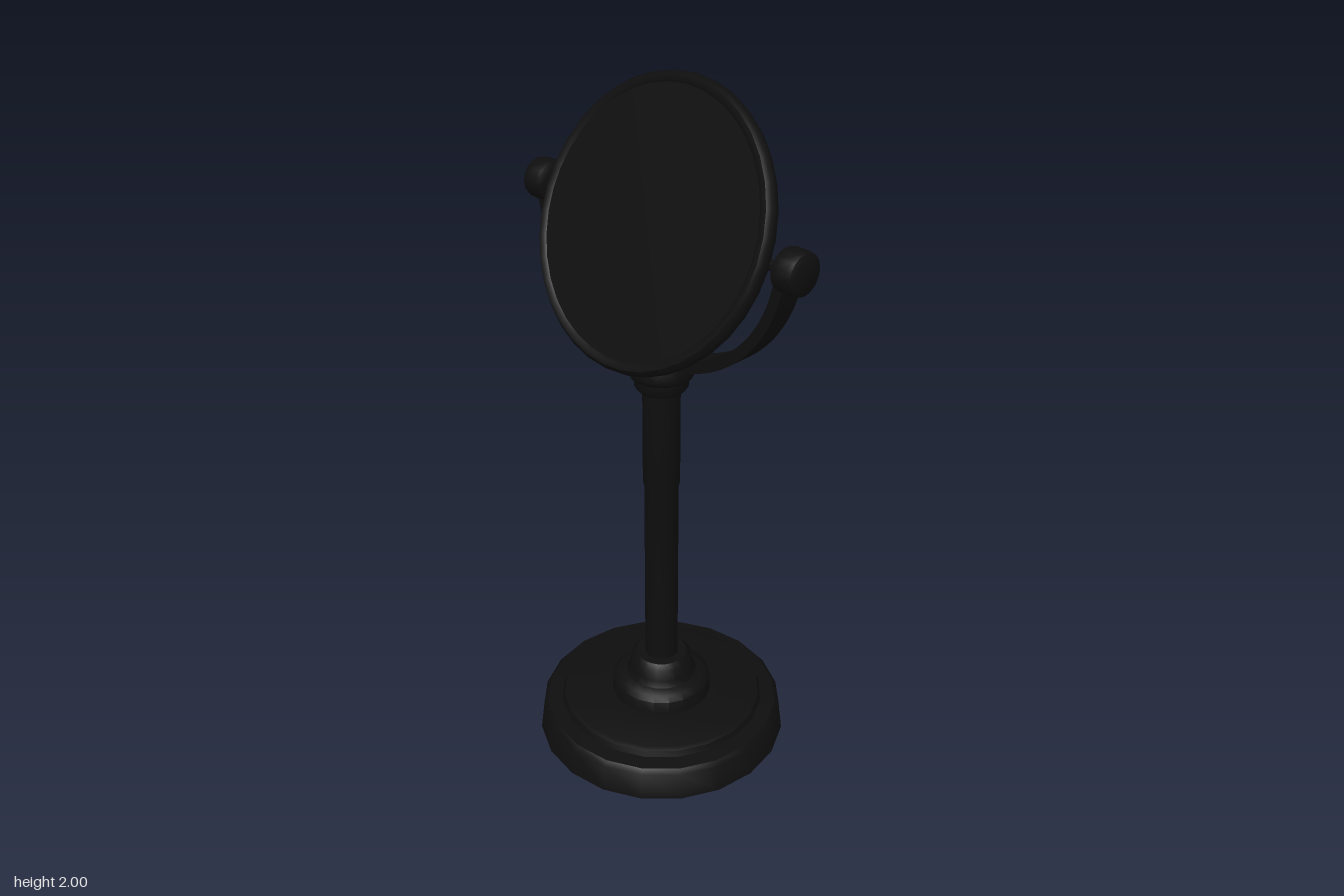
import * as THREE from 'three';
import { toCreasedNormals } from 'three/addons/utils/BufferGeometryUtils.js';

const material = new THREE.MeshStandardMaterial({ color: 0x0e0e0e });

function part(name, geometry, parent) {
  const mesh = new THREE.Mesh(toCreasedNormals(geometry, 0.7), material);
  mesh.name = name;
  parent.add(mesh);
  return mesh;
}

// Turned part from [radius, height] pairs listed bottom to top
function turned(name, profile, segments, parent) {
  const points = profile.map(([r, y]) => new THREE.Vector2(r, y));
  return part(name, new THREE.LatheGeometry(points, segments), parent);
}

export function createModel() {
  const model = new THREE.Group();
  model.name = 'tableMirror';

  // Stepped round foot
  turned('base', [
    [0, 0], [0.36, 0], [0.373, 0.01], [0.36, 0.09], [0.348, 0.103], [0.305, 0.108],
    [0.298, 0.125], [0.285, 0.13], [0.15, 0.135], [0.145, 0.175], [0.13, 0.19],
    [0.105, 0.197], [0.095, 0.215], [0.09, 0.25], [0.075, 0.265], [0, 0.265],
  ], 20, model);

  // Column with a slightly wider upper sleeve
  turned('column', [
    [0.049, 0.25], [0.049, 0.85], [0.053, 0.87], [0.053, 1.18],
  ], 20, model);

  // Collar carrying the yoke
  turned('collar', [
    [0.05, 1.165], [0.068, 1.165], [0.075, 1.175], [0.075, 1.2], [0.088, 1.207],
    [0.095, 1.22], [0.095, 1.252], [0.085, 1.272], [0, 1.275],
  ], 20, model);

  // Flat curved yoke: a band between two half ellipses
  const start = Math.PI + 0.1, end = 2 * Math.PI - 0.1;
  const band = new THREE.Shape();
  band.absellipse(0, 1.68, 0.447, 0.432, start, end, false);
  band.absellipse(0, 1.68, 0.418, 0.4, end, start, true);
  band.closePath();
  const yoke = new THREE.ExtrudeGeometry(band, { depth: 0.075, bevelEnabled: false, curveSegments: 28 });
  part('yoke', yoke.translate(0, 0, -0.0375), model);

  // Rounded knobs and pivot pins on both sides
  for (const [side, label] of [[1, 'left'], [-1, 'right']]) {
    const knob = turned(label + 'Knob', [
      [0, -0.038], [0.042, -0.038], [0.055, -0.03], [0.058, -0.018],
      [0.058, 0.018], [0.055, 0.03], [0.042, 0.038], [0, 0.038],
    ], 16, model);
    knob.position.set(side * 0.446, 1.64, 0);
    knob.rotation.z = -side * Math.PI / 2;
    const pin = part(label + 'Pin', new THREE.CylinderGeometry(0.014, 0.014, 0.06, 10), model);
    pin.position.set(side * 0.395, 1.64, 0.01);
    pin.rotation.z = Math.PI / 2;
  }

  // Tilted head: rounded frame with a gently domed back, and the glass
  const head = new THREE.Group();
  head.name = 'mirrorHead';
  head.position.set(0, 1.643, 0.035);
  head.rotation.x = THREE.MathUtils.degToRad(66);
  model.add(head);
  turned('frame', [
    [0, -0.046], [0.1, -0.045], [0.155, -0.041], [0.205, -0.026], [0.365, -0.025],
    [0.381, -0.018], [0.388, 0], [0.385, 0.015], [0.376, 0.025], [0.362, 0.025], [0.355, 0.02],
  ], 36, head);
  turned('glass', [[0.357, 0.02], [0, 0.021]], 36, head);

  return model;
}
